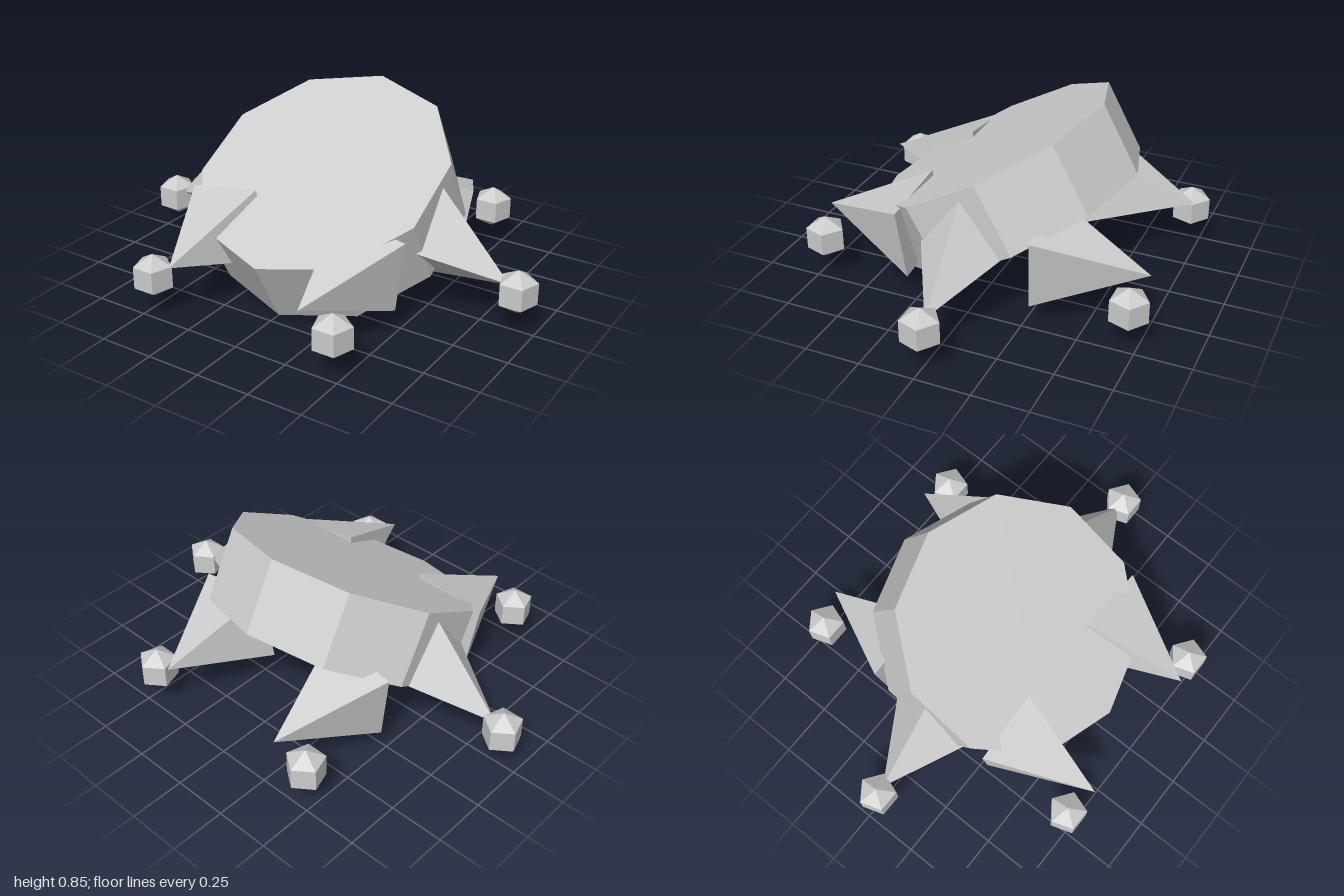
import * as THREE from 'three';
import { ConvexGeometry } from 'three/addons/geometries/ConvexGeometry.js';

const grey = new THREE.MeshStandardMaterial({ color: 0xcccccc });

// Split the corners so that every facet is flat
function facet(geometry) {
  const flat = geometry.index ? geometry.toNonIndexed() : geometry;
  flat.computeVertexNormals();
  return flat;
}

function addMesh(parent, name, geometry) {
  const mesh = new THREE.Mesh(facet(geometry), grey);
  mesh.name = name;
  parent.add(mesh);
  return mesh;
}

// Pointed leg: tip first, then the four base corners, mirrored by side and end
function addLeg(parent, name, points, side, end) {
  const corners = points.map(([x, y, z]) => new THREE.Vector3(x * side, y, z * end));
  addMesh(parent, name, new ConvexGeometry(corners));
}

// Five-sided faceted foot
function addFoot(parent, name, x, z) {
  const foot = addMesh(parent, name, new THREE.SphereGeometry(0.1, 5, 3));
  foot.rotation.y = -Math.PI / 2;
  foot.position.set(x, 0.19, z);
}

export function createModel() {
  const model = new THREE.Group();
  model.name = 'sixLeggedCreature';

  // Ten-sided body disc, tipped down towards the front
  const body = addMesh(model, 'body', new THREE.CylinderGeometry(0.578, 0.578, 0.338, 10));
  body.rotation.x = 0.5;
  body.position.set(0, 0.426, 0.013);

  const legs = new THREE.Group();
  legs.name = 'legs';
  legs.position.z = 0.005;
  model.add(legs);

  const cornerLeg = [
    [0.325, 0.28, 0.76],
    [0.545, 0.44, 0.305], [0.21, 0.49, 0.295],
    [0.16, 0.155, 0.277], [0.495, 0.105, 0.287],
  ];
  const sideLeg = [
    [0.88, 0.21, 0],
    [0.529, 0.599, 0], [0.444, 0.375, 0.24],
    [0.359, 0.151, 0], [0.444, 0.375, -0.24],
  ];

  for (const [side, label] of [[1, 'left'], [-1, 'right']]) {
    // Front and back legs
    for (const [end, place] of [[1, 'Front'], [-1, 'Back']]) {
      addLeg(legs, `${label}${place}Leg`, cornerLeg, side, end);
      addFoot(legs, `${label}${place}Foot`, 0.457 * side, 0.712 * end);
    }
    // Middle legs
    addLeg(legs, `${label}MiddleLeg`, sideLeg, side, 1);
    addFoot(legs, `${label}MiddleFoot`, 0.916 * side, 0);
  }
  return model;
}
